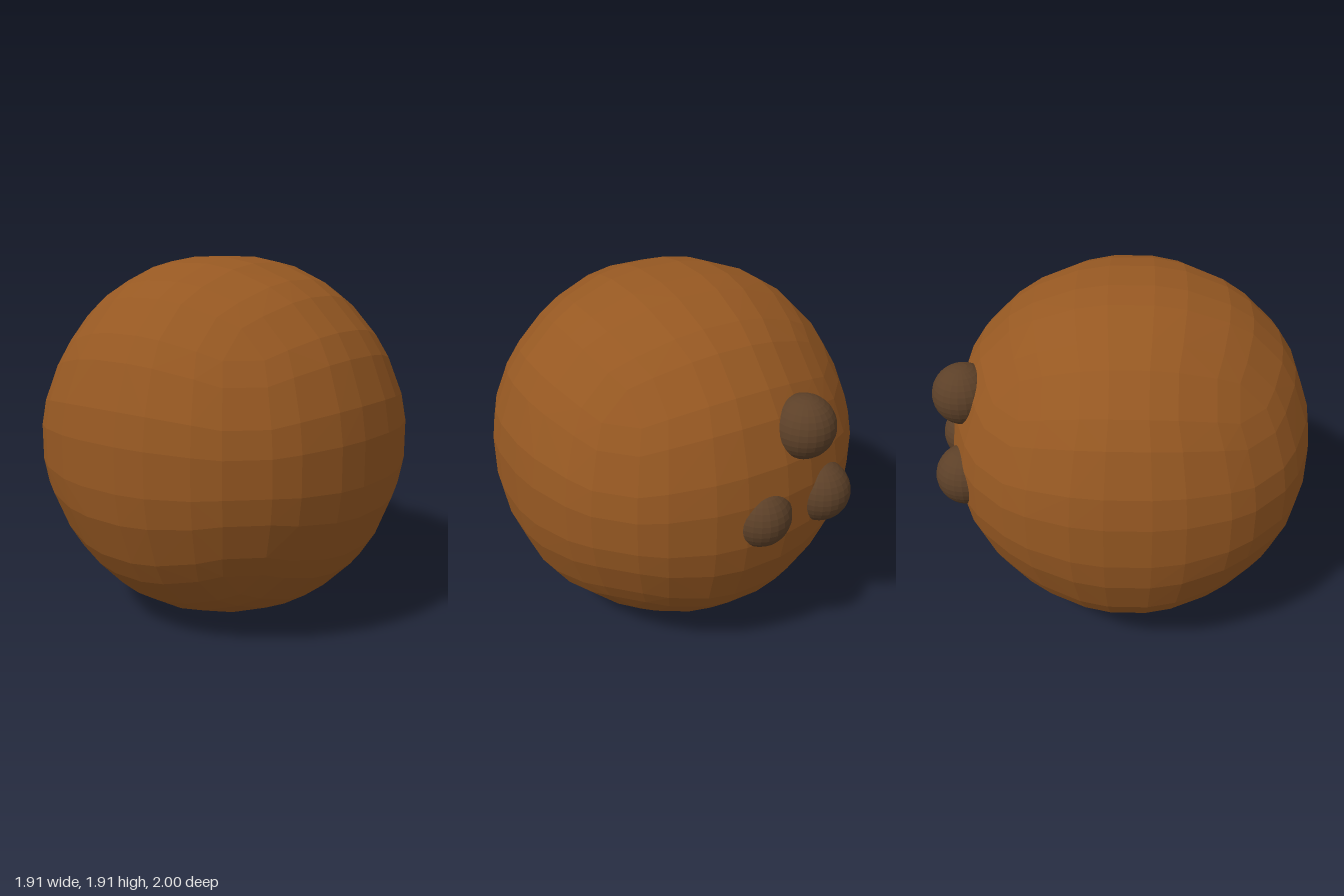
import * as THREE from 'three';
import { ConvexGeometry } from 'three/addons/geometries/ConvexGeometry.js';

const CENTER = [0, 0.96, 0.04];

// Slightly squared ball: a cube grid pushed out to a soft superellipsoid
function ballGeometry() {
  const half = [6.8, 16.5, 30, 38.4];
  const tans = [...half.map(a => -a), ...half].map(a => Math.tan(THREE.MathUtils.degToRad(a)));
  const points = [];
  const p = 2.17;
  for (let axis = 0; axis < 3; axis++) {
    for (const sign of [-1, 1]) {
      for (const u of tans) {
        for (const v of tans) {
          const d = new THREE.Vector3();
          d.setComponent(axis, sign);
          d.setComponent((axis + 1) % 3, u);
          d.setComponent((axis + 2) % 3, v);
          d.normalize();
          const sum = Math.abs(d.x) ** p + Math.abs(d.y) ** p + Math.abs(d.z) ** p;
          const cornerCut = 1 - 0.81 * (d.x * d.y * d.z) ** 2;
          points.push(d.multiplyScalar(0.964 * sum ** (-1 / p) * cornerCut));
        }
      }
    }
  }
  return new ConvexGeometry(points);
}

export function createModel() {
  const group = new THREE.Group();
  const shell = new THREE.MeshStandardMaterial({ color: 0x965822, flatShading: true });
  const dark = new THREE.MeshStandardMaterial({ color: 0x5c4028, flatShading: true });

  // Large faceted ball
  const ball = new THREE.Mesh(ballGeometry(), shell);
  ball.name = 'ball';
  ball.position.set(...CENTER);
  group.add(ball);

  // Three dark round knobs sunk into the back
  const knobGeometry = new THREE.SphereGeometry(0.16, 24, 16);
  const knobs = [
    ['upperKnob', -0.25, 1.37, -0.81],
    ['middleKnob', 0, 0.96, -0.84],
    ['sideKnob', -0.385, 0.96, -0.81],
  ];
  for (const [name, x, y, z] of knobs) {
    const knob = new THREE.Mesh(knobGeometry, dark);
    knob.name = name;
    knob.position.set(x, y, z);
    group.add(knob);
  }
  return group;
}
